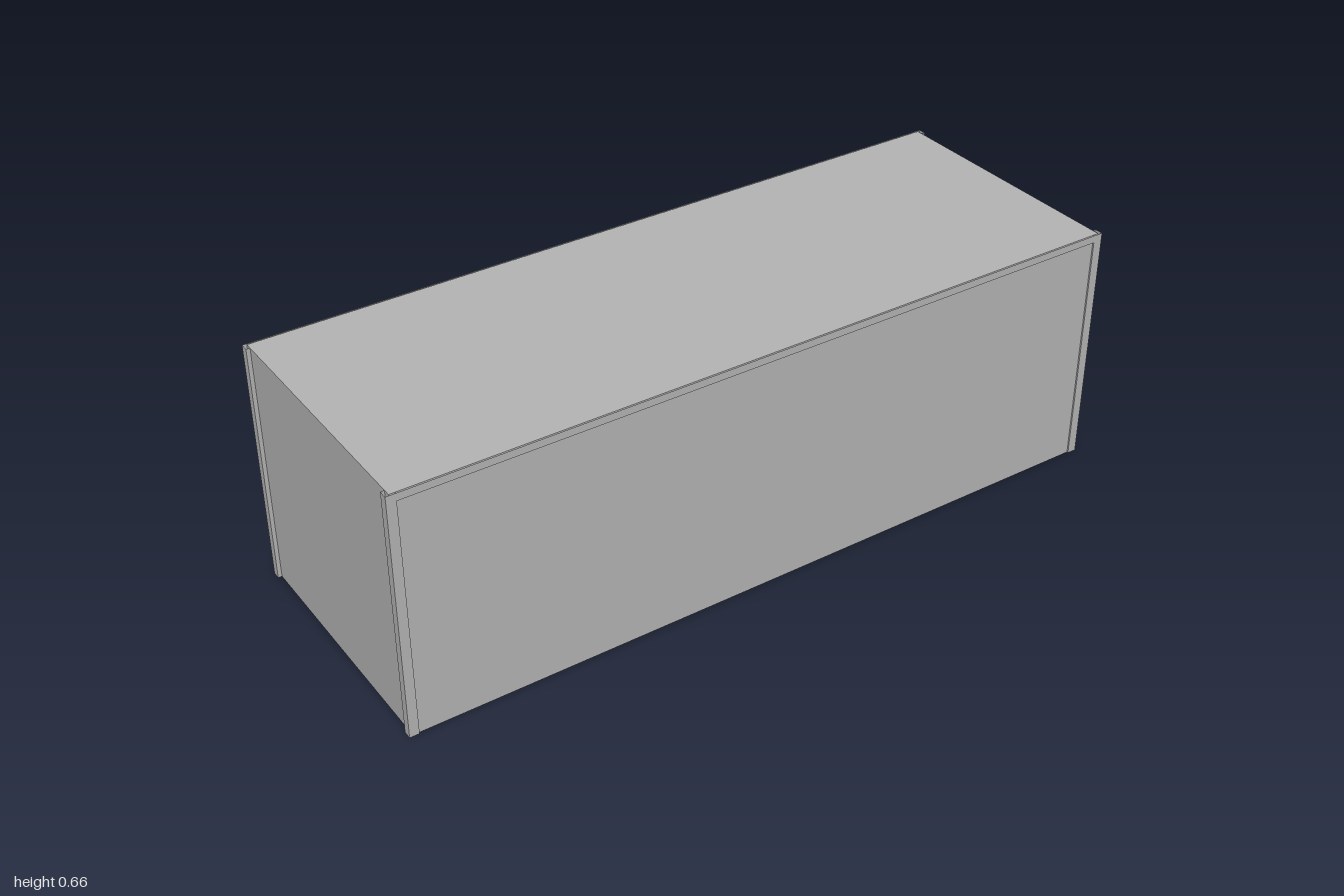
import * as THREE from 'three';

const H = 0.66, X = 0.99, Z = 0.353;   // shell height and half sizes
const OX = 1, OZ = 0.357;              // outer faces of the frame

// Sweeps an (x, z) path along y from y0 to y1, flat shaded
function ribbon(path, y0, y1) {
  const pos = [];
  for (let i = 0; i < path.length - 1; i++) {
    const [ax, az] = path[i], [bx, bz] = path[i + 1];
    pos.push(ax, y0, az, bx, y0, bz, bx, y1, bz);
    pos.push(ax, y0, az, bx, y1, bz, ax, y1, az);
  }
  const g = new THREE.BufferGeometry();
  g.setAttribute('position', new THREE.Float32BufferAttribute(pos, 3));
  g.computeVertexNormals();
  return g;
}

// Mirrors a path and keeps it facing outward
function mirror(path, sx, sz) {
  const p = path.map(([x, z]) => [x * sx, z * sz]);
  return sx * sz < 0 ? p.reverse() : p;
}

export function createModel() {
  const group = new THREE.Group();
  group.name = 'container';
  const grey = new THREE.MeshStandardMaterial({ color: 0xb4b4b4, side: THREE.DoubleSide });
  grey.name = 'grey';

  const add = (name, geometry) => {
    const mesh = new THREE.Mesh(geometry, grey);
    mesh.name = name;
    group.add(mesh);
    return mesh;
  };

  // Thin shell, open underneath
  add('walls', ribbon([[-X, Z], [X, Z], [X, -Z], [-X, -Z], [-X, Z]], 0, H));
  add('roof', new THREE.PlaneGeometry(2 * X, 2 * Z).rotateX(-Math.PI / 2)).position.y = H;

  // Corner posts wrapping the four vertical edges
  const post = [[0.975, Z], [0.975, OZ], [OX, OZ], [OX, 0.335], [X, 0.335]];
  for (const sx of [1, -1]) {
    for (const sz of [1, -1]) add('cornerPost', ribbon(mirror(post, sx, sz), 0, H));
  }

  // Top rails along the long sides
  const rail = [[0.64, Z], [0.64, OZ], [H, OZ]];
  for (const sz of [1, -1]) {
    add('topRail', ribbon(mirror(rail, 1, sz), -0.975, 0.975).rotateZ(Math.PI / 2));
  }

  // Door locking bars and the centre seam strip
  const bar = (name, z, width, y0, y1) =>
    add(name, new THREE.BoxGeometry(0.008, y1 - y0, width))
      .position.set(X + 0.004, (y0 + y1) / 2, z);
  for (const z of [-0.214, -0.062, 0.062, 0.214]) bar('lockingBar', z, 0.008, 0.15, 0.643);
  bar('doorSeam', 0, 0.01, 0.142, 0.65);

  return group;
}
